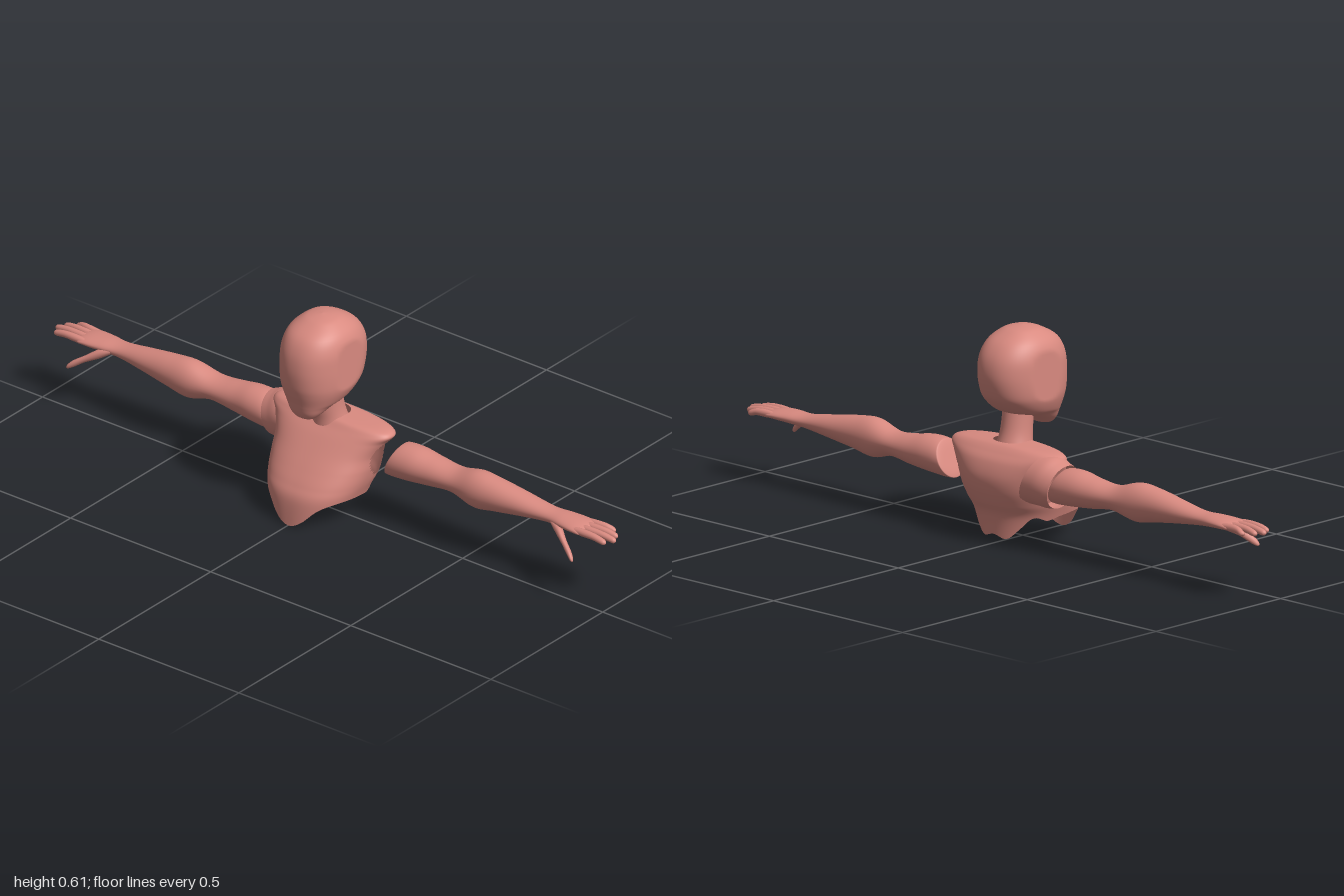
import * as THREE from 'three';

const skin = new THREE.MeshStandardMaterial({ color: 0xd98a80, side: THREE.DoubleSide });
skin.name = 'skin';

// Catmull-Rom through rows of numbers; t runs from 0 to keys.length - 1
function spline(keys, t) {
  const n = keys.length - 1;
  const i = Math.min(n - 1, Math.max(0, Math.floor(t)));
  const f = t - i;
  const [a, b, c, d] = [Math.max(0, i - 1), i, i + 1, Math.min(n, i + 2)].map(k => keys[k]);
  return b.map((v, k) => v + 0.5 * f * (c[k] - a[k]
    + f * (2 * a[k] - 5 * v + 4 * c[k] - d[k] + f * (3 * (v - c[k]) + d[k] - a[k]))));
}

// Closed-around surface from rings; drop(p) removes faces
function loft(rows, cols, point, drop = () => false) {
  const pts = [], index = [];
  for (let i = 0; i <= rows; i++)
    for (let j = 0; j < cols; j++) pts.push(point(i / rows, (j / cols) * Math.PI * 2));
  for (let i = 0; i < rows; i++)
    for (let j = 0; j < cols; j++) {
      const a = i * cols + j, b = i * cols + (j + 1) % cols, c = a + cols, d = b + cols;
      if (drop(pts[a])) continue;
      index.push(a, b, c, b, d, c);
    }
  const g = new THREE.BufferGeometry();
  g.setAttribute('position', new THREE.Float32BufferAttribute(pts.flat(), 3));
  g.setIndex(index);
  g.computeVertexNormals();
  return g;
}

const power = (v, e) => Math.sign(v) * Math.abs(v) ** e;

// Horizontal section [y, zFront, zBack, halfWidth] at angle a, 0 facing front
function section([y, f, b, w], a, e) {
  return [w * power(Math.sin(a), e), y, (f + b) / 2 + (f - b) / 2 * power(Math.cos(a), e)];
}

// Limb along +x from sections [x, y, z, ry, rz]; slant leans the inner end outward at the top
function limb(keys, steps, cols, slant = 0) {
  const n = keys.length - 1;
  return loft(n * steps, cols, (v, a) => {
    const [x, y, z, ry, rz] = spline(keys, v * n);
    const dy = Math.max(0, ry) * Math.cos(a);
    return [x + slant * dy * Math.max(0, 1 - (x - 0.2) / 0.2), y + dy, z + Math.max(0, rz) * Math.sin(a)];
  });
}

function mirrored(geometry) {
  const g = geometry.clone().scale(-1, 1, 1);
  const ix = g.index.array;
  for (let i = 0; i < ix.length; i += 3) [ix[i], ix[i + 1]] = [ix[i + 1], ix[i]];
  g.computeVertexNormals();
  return g;
}

const headKeys = [
  [0.315, 0.085, 0.075, 0], [0.318, 0.098, 0.058, 0.03], [0.335, 0.108, 0.03, 0.05],
  [0.355, 0.114, -0.02, 0.066], [0.37, 0.118, -0.075, 0.08], [0.40, 0.127, -0.112, 0.094],
  [0.43, 0.133, -0.13, 0.1], [0.48, 0.135, -0.14, 0.102], [0.53, 0.126, -0.132, 0.1],
  [0.57, 0.102, -0.105, 0.085], [0.597, 0.057, -0.063, 0.055], [0.606, 0.03, -0.035, 0.03],
  [0.61, 0, 0, 0]];

const neckKeys = [
  [0.25, 0.018, -0.095, 0.06], [0.28, 0.018, -0.082, 0.05],
  [0.32, 0.022, -0.07, 0.045], [0.39, 0.025, -0.058, 0.045]];

const torsoKeys = [
  [0, 0.155, -0.115, 0.11], [0.08, 0.15, -0.122, 0.138], [0.12, 0.132, -0.14, 0.152],
  [0.16, 0.104, -0.153, 0.162], [0.2, 0.072, -0.155, 0.17], [0.24, 0.038, -0.142, 0.19],
  [0.264, 0.014, -0.122, 0.205], [0.279, 0, -0.105, 0.17], [0.286, -0.01, -0.09, 0.05]];

// Height of the torn lower edge, from the front centre round to the back centre
const hem = [[0], [0.025], [0.06], [0.078], [0.084], [0.08], [0.07], [0.085], [0.05], [0.022], [0.03]];

const armKeys = [
  [0.213, 0.195, -0.065, 0, 0], [0.214, 0.195, -0.065, 0.045, 0.046], [0.225, 0.196, -0.065, 0.054, 0.055],
  [0.28, 0.198, -0.066, 0.053, 0.056], [0.35, 0.197, -0.068, 0.044, 0.05],
  [0.43, 0.199, -0.066, 0.036, 0.046], [0.51, 0.2, -0.06, 0.056, 0.05],
  [0.58, 0.203, -0.06, 0.048, 0.047], [0.67, 0.203, -0.064, 0.034, 0.04],
  [0.76, 0.202, -0.067, 0.021, 0.032], [0.82, 0.204, -0.066, 0.018, 0.04],
  [0.87, 0.204, -0.065, 0.015, 0.045], [0.9, 0.202, -0.065, 0.01, 0.04], [0.905, 0.202, -0.065, 0, 0]];

const finger = (z0, z1, tip) => [
  [0.86, 0.204, z0, 0.008, 0.009], [0.9, 0.205, z0, 0.011, 0.011],
  [(0.9 + tip) / 2, 0.205, (z0 + z1) / 2, 0.01, 0.01],
  [tip - 0.012, 0.2, z1, 0.009, 0.009], [tip - 0.003, 0.199, z1, 0.005, 0.005], [tip, 0.199, z1, 0, 0]];

const thumb = [
  [0.785, 0.2, -0.045, 0.008, 0.012], [0.82, 0.186, -0.03, 0.015, 0.014],
  [0.855, 0.167, -0.01, 0.011, 0.01], [0.885, 0.148, 0.005, 0.011, 0.009],
  [0.899, 0.138, 0.012, 0.007, 0.006], [0.904, 0.134, 0.014, 0, 0]];

export function createModel() {
  const model = new THREE.Group();
  const add = (name, geometry, parent = model) => {
    const mesh = new THREE.Mesh(geometry, skin);
    mesh.name = name;
    parent.add(mesh);
  };

  // Smooth head with flattened sides
  add('head', loft(60, 64, (v, a) => {
    const p = section(spline(headKeys, v * (headKeys.length - 1)), a, 0.88);
    p[0] = THREE.MathUtils.clamp(p[0], -0.095, 0.095);
    return p;
  }));
  add('neck', loft(16, 40, (v, a) => section(spline(neckKeys, v * 3), a, 1)));

  // Hollow chest with a ragged hem and an open armhole on the left
  add('torso', loft(64, 128, (v, a) => {
    const around = (1 - Math.abs(a - Math.PI) / Math.PI) * (hem.length - 1);
    const start = Math.max(0, spline(hem, around)[0]) / 0.08;
    const t = THREE.MathUtils.lerp(start, torsoKeys.length - 1, v);
    return section(spline(torsoKeys, t), a, 0.84);
  }, ([x, y, z]) => x > 0.1 && Math.hypot((y - 0.185) / 0.058, (z + 0.062) / 0.06) < 1));

  // Shoulder sleeve on the right side only
  add('rightShoulderCap', mirrored(limb([
    [0.13, 0.2, -0.068, 0.075, 0.075], [0.17, 0.2, -0.07, 0.073, 0.073],
    [0.2, 0.194, -0.07, 0.069, 0.068], [0.222, 0.192, -0.068, 0.064, 0.063]], 6, 40, 0.3)));

  // Arms and hands
  const parts = [
    ['Arm', limb(armKeys, 6, 36, 0.45)],
    ['IndexFinger', limb(finger(-0.033, -0.033, 0.985), 4, 14)],
    ['MiddleFinger', limb(finger(-0.055, -0.059, 1.0), 4, 14)],
    ['RingFinger', limb(finger(-0.077, -0.083, 0.988), 4, 14)],
    ['LittleFinger', limb(finger(-0.098, -0.106, 0.962), 4, 14)],
    ['Thumb', limb(thumb, 4, 16)]];
  for (const side of ['left', 'right']) {
    const group = new THREE.Group();
    group.name = side + 'ArmAndHand';
    for (const [name, g] of parts) add(side + name, side === 'left' ? g : mirrored(g), group);
    model.add(group);
  }
  return model;
}
